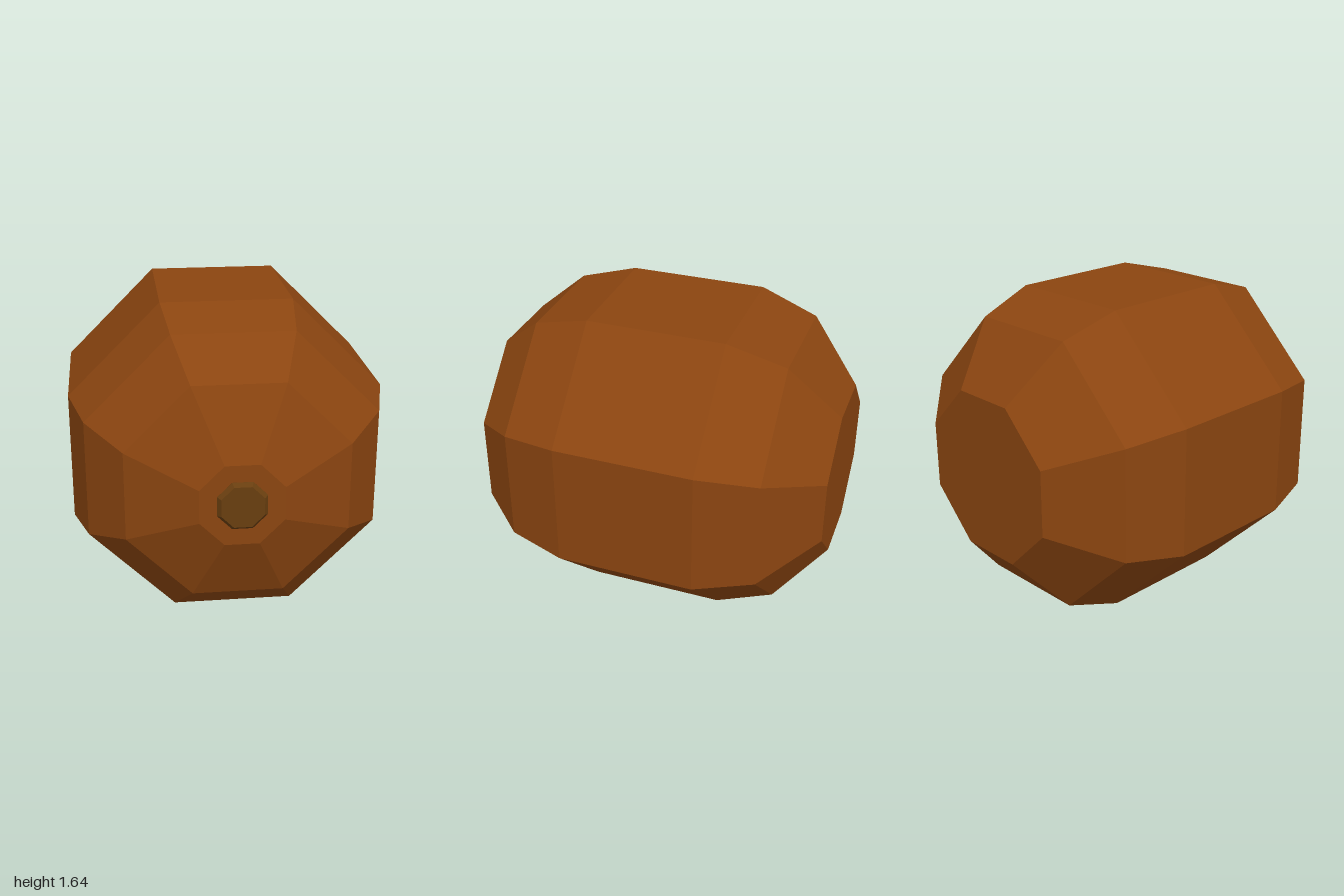
import * as THREE from 'three';

const CENTRE_Y = 0.822;
const SIDES = 8;

// Octagonal solid along z; profile rows are [half width across flats, z], back to front
function octagonSolid(name, profile, material) {
  const toCorner = 1 / Math.cos(Math.PI / SIDES);
  const points = profile.map(([r, z]) => new THREE.Vector2(r * toCorner, z));
  const geometry = new THREE.LatheGeometry(points, SIDES, Math.PI / SIDES);
  geometry.rotateX(Math.PI / 2);
  const mesh = new THREE.Mesh(geometry, material);
  mesh.name = name;
  mesh.position.y = CENTRE_Y;
  return mesh;
}

export function createModel() {
  const brown = new THREE.MeshStandardMaterial({ color: 0x8b4510, flatShading: true });
  brown.name = 'brown';
  const darkBrown = new THREE.MeshStandardMaterial({ color: 0x693e0f, flatShading: true });
  darkBrown.name = 'dark brown';

  const group = new THREE.Group();
  group.name = 'barrelNut';

  // Faceted body, flat at the back and domed at the front
  group.add(octagonSolid('body', [
    [0, -1], [0.422, -1], [0.722, -0.735], [0.822, -0.43], [0.822, 0.3],
    [0.743, 0.6], [0.558, 0.825], [0.208, 0.977], [0, 0.977],
  ], brown));

  // Small bevelled stub in the middle of the front
  group.add(octagonSolid('stub', [
    [0, 0.96], [0.122, 0.96], [0.122, 0.979], [0.105, 1], [0, 1],
  ], darkBrown));

  return group;
}
